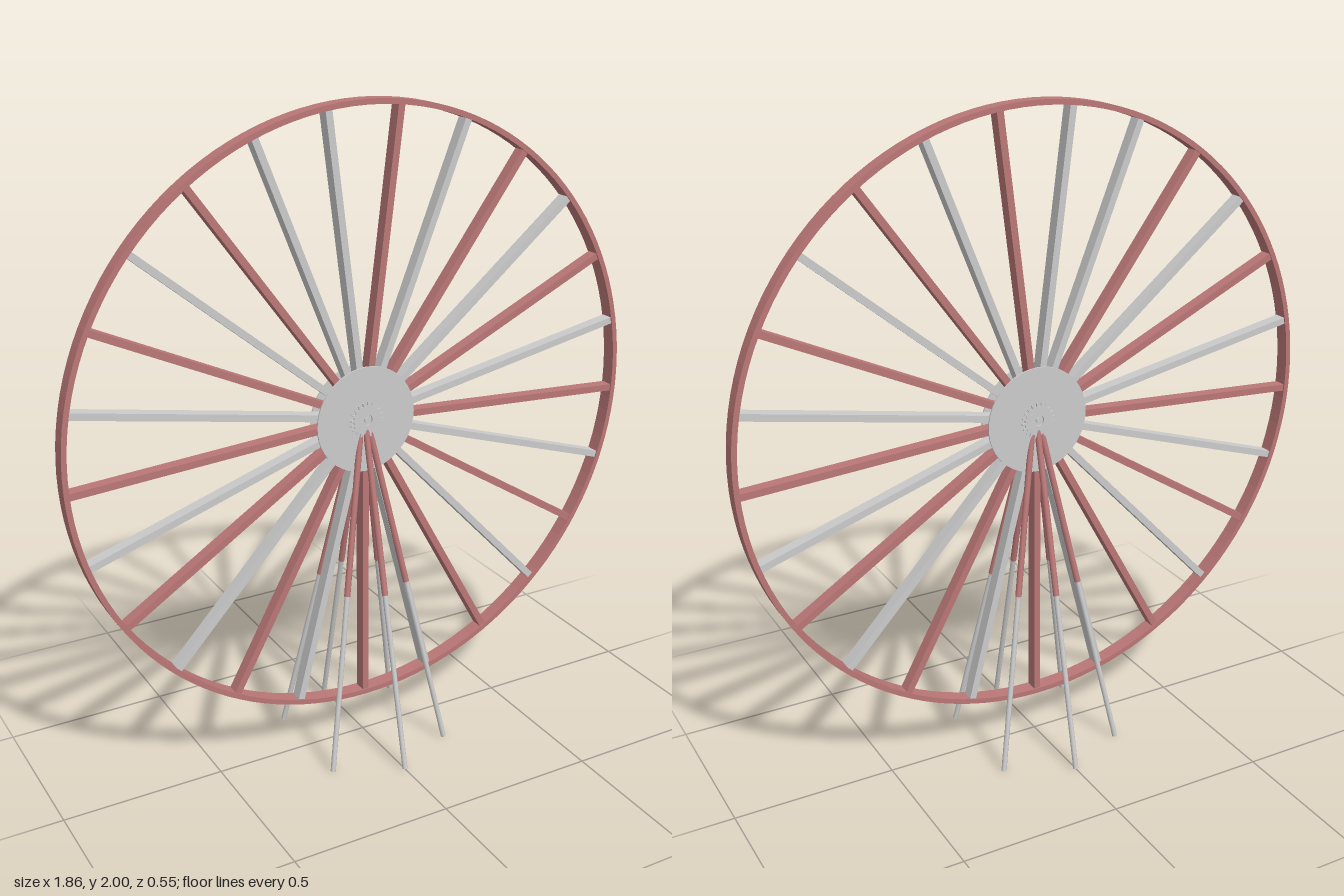
import * as THREE from 'three';

const CENTER_Y = 1.07, R_OUT = 0.93, R_IN = 0.914, HUB_R = 0.163;
const grey = new THREE.MeshStandardMaterial({ color: 0xcccccc });
const red = new THREE.MeshStandardMaterial({ color: 0xbb7777 });

function add(parent, name, geometry, material) {
  const mesh = new THREE.Mesh(geometry, material);
  mesh.name = name;
  parent.add(mesh);
  return mesh;
}

// Round rod between two points
function rod(parent, name, a, b, radius, material) {
  const mesh = add(parent, name, new THREE.CylinderGeometry(radius, radius, a.distanceTo(b), 12), material);
  mesh.position.copy(a).lerp(b, 0.5);
  mesh.quaternion.setFromUnitVectors(new THREE.Vector3(0, 1, 0), b.clone().sub(a).normalize());
}

// Toothed disc with a round bore
function gearGeometry(teeth, root, tip, bore, depth) {
  const points = [];
  for (let i = 0; i < teeth; i++) {
    [[0, root], [0.45, root], [0.6, tip], [0.85, tip]].forEach(([f, r]) => {
      const a = ((i + f) / teeth) * Math.PI * 2;
      points.push(new THREE.Vector2(Math.cos(a) * r, Math.sin(a) * r));
    });
  }
  const shape = new THREE.Shape(points);
  shape.holes.push(new THREE.Path().absarc(0, 0, bore, 0, Math.PI * 2, true));
  return new THREE.ExtrudeGeometry(shape, { depth, bevelEnabled: false, curveSegments: 16 })
    .translate(0, 0, -depth / 2);
}

export function createModel() {
  const model = new THREE.Group();
  model.name = 'spokedWheelOnStand';
  const wheel = new THREE.Group();
  wheel.name = 'wheel';
  wheel.position.y = CENTER_Y;
  model.add(wheel);

  // Rim: a thin flat band
  const band = new THREE.Shape().absarc(0, 0, R_OUT, 0, Math.PI * 2, false);
  band.holes.push(new THREE.Path().absarc(0, 0, R_IN, 0, Math.PI * 2, true));
  add(wheel, 'rim', new THREE.ExtrudeGeometry(band, { depth: 0.046, bevelEnabled: false, curveSegments: 64 })
    .translate(0, 0, -0.023), red);

  // Spokes alternate in colour; the odd count leaves two greys side by side
  const count = 25, inner = 0.06, length = R_IN + 0.004 - inner;
  for (let i = 0; i < count; i++) {
    const geometry = new THREE.BoxGeometry(0.021, length, 0.038).translate(0, inner + length / 2, 0);
    const spoke = add(wheel, 'spoke', geometry, i % 2 === 0 && i < count - 1 ? red : grey);
    spoke.rotation.z = -((i + 0.5) / count) * Math.PI * 2;
  }

  // Hub: two thin plates with the spokes held between them
  for (const side of [-1, 1]) {
    const plate = add(wheel, 'hubPlate', new THREE.CylinderGeometry(HUB_R, HUB_R, 0.005, 48).rotateX(Math.PI / 2), grey);
    plate.position.z = side * 0.0205;
  }

  // Axle gear, axle ring and pin
  add(wheel, 'gear', gearGeometry(20, 0.045, 0.055, 0.017, 0.058), grey);
  add(wheel, 'axlePin', new THREE.CylinderGeometry(0.008, 0.008, 0.056, 12).rotateX(Math.PI / 2), grey);

  // Stand: three legs each side, coloured above and grey below
  const stand = new THREE.Group();
  stand.name = 'stand';
  model.add(stand);
  for (const side of [-1, 1]) {
    for (const [footX, footZ] of [[-0.2, 0.17], [0, 0.265], [0.2, 0.17]]) {
      const foot = new THREE.Vector3(footX, 0.002, footZ * side);
      const top = new THREE.Vector3(footX * 0.06, 1.05, footZ * 0.065 * side);
      const joint = foot.clone().lerp(top, 0.515);
      rod(stand, 'upperLeg', joint, top, 0.0095, red);
      rod(stand, 'lowerLeg', foot, joint, 0.008, grey);
    }
  }
  return model;
}
